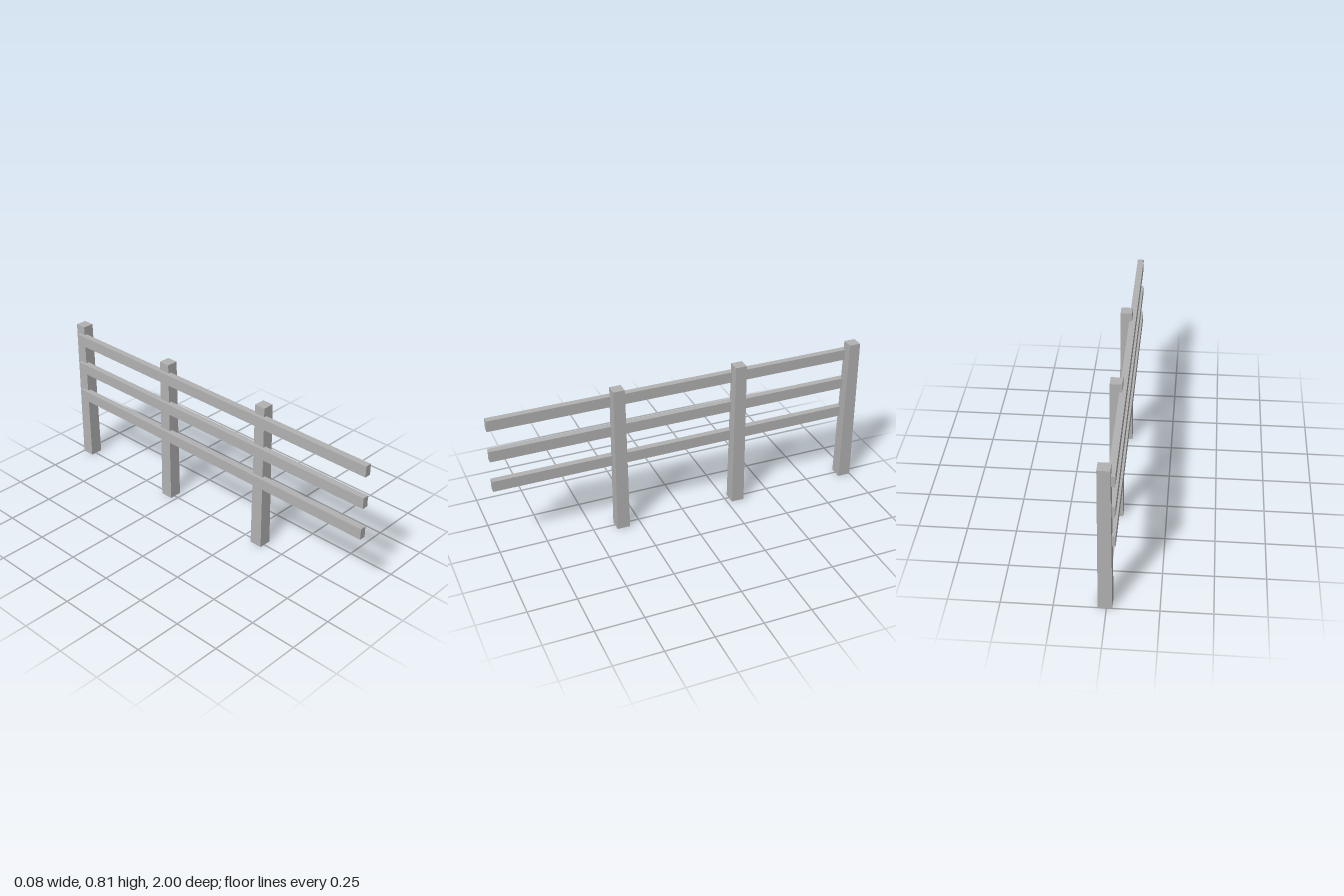
import * as THREE from 'three';

const POST_HEIGHT = 0.812;
const POST_BOTTOM = 0.069;
const POST_TOP = 0.06;

// Square post, slightly narrower at the top
function makePostGeometry() {
  const geometry = new THREE.BoxGeometry(POST_BOTTOM, POST_HEIGHT, POST_BOTTOM);
  geometry.translate(0, POST_HEIGHT / 2, 0);
  const pos = geometry.attributes.position;
  const taper = POST_TOP / POST_BOTTOM;
  for (let i = 0; i < pos.count; i++) {
    if (pos.getY(i) > POST_HEIGHT / 2) {
      pos.setX(i, pos.getX(i) * taper);
      pos.setZ(i, pos.getZ(i) * taper);
    }
  }
  geometry.computeVertexNormals();
  return geometry;
}

export function createModel() {
  const fence = new THREE.Group();
  fence.name = 'fence';

  const greyWood = new THREE.MeshStandardMaterial({ color: 0xb2b2b2 });
  greyWood.name = 'grey wood';

  // Three evenly spaced posts
  const postGeometry = makePostGeometry();
  ['backPost', 'middlePost', 'frontPost'].forEach((name, i) => {
    const post = new THREE.Mesh(postGeometry, greyWood);
    post.name = name;
    post.position.set(0.0065, 0, -0.9655 + i * 0.656);
    fence.add(post);
  });

  // Three rails let into the right side of the posts, overhanging at the front
  const railBack = -0.973;
  const railFront = 1;
  const railGeometry = new THREE.BoxGeometry(0.034, 0.058, railFront - railBack);
  const railHeights = { lowerRail: 0.394, middleRail: 0.566, upperRail: 0.737 };
  for (const [name, y] of Object.entries(railHeights)) {
    const rail = new THREE.Mesh(railGeometry, greyWood);
    rail.name = name;
    rail.position.set(-0.0255, y, (railBack + railFront) / 2);
    fence.add(rail);
  }

  return fence;
}
